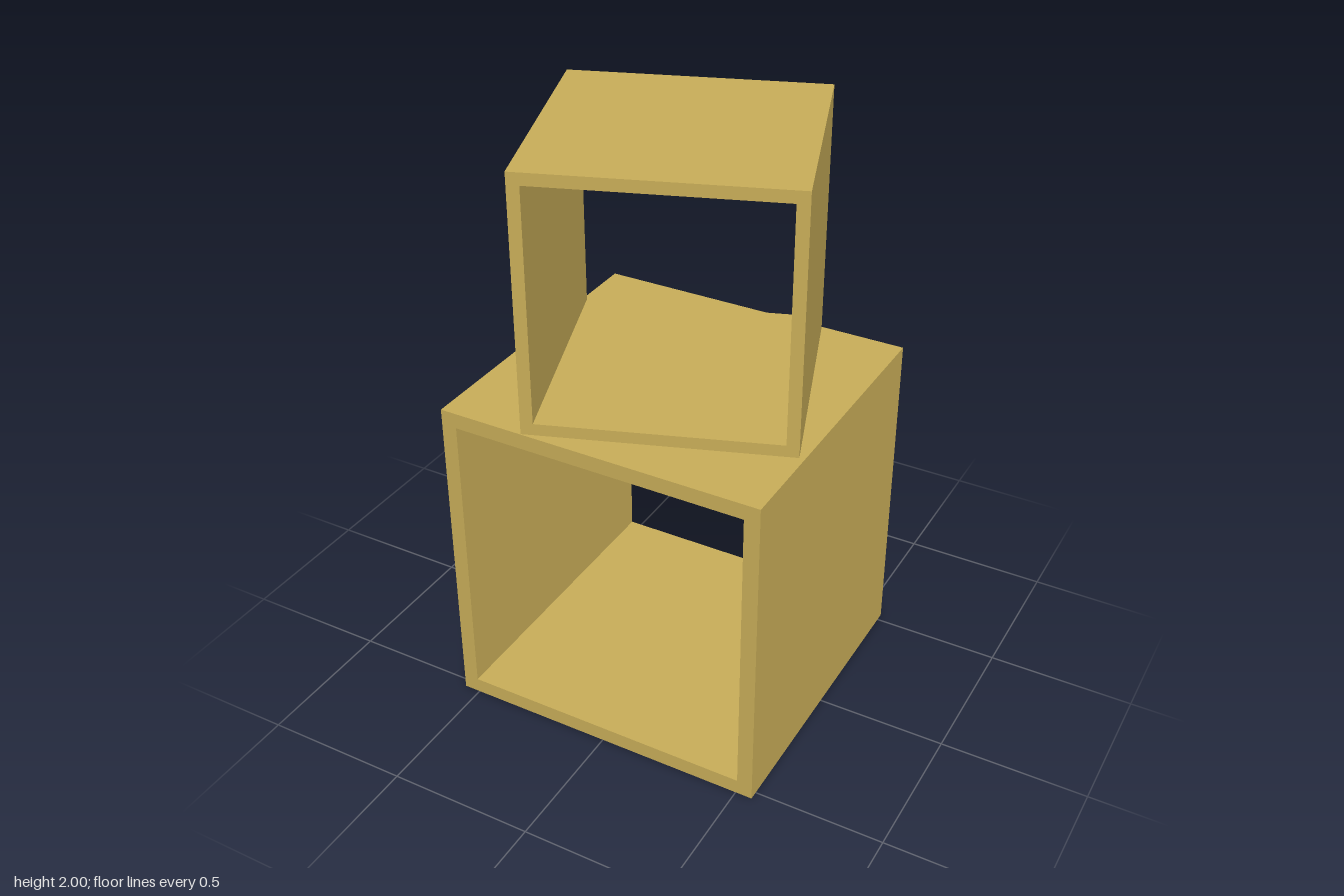
import * as THREE from 'three';

// Square tube, open at front and back, standing on y = 0
function openBox(name, width, height, depth, wall, material) {
  const w = width / 2;
  const shape = new THREE.Shape([
    new THREE.Vector2(-w, 0), new THREE.Vector2(w, 0),
    new THREE.Vector2(w, height), new THREE.Vector2(-w, height),
  ]);
  const i = w - wall;
  shape.holes.push(new THREE.Path([
    new THREE.Vector2(-i, wall), new THREE.Vector2(-i, height - wall),
    new THREE.Vector2(i, height - wall), new THREE.Vector2(i, wall),
  ]));
  const geometry = new THREE.ExtrudeGeometry(shape, { depth, bevelEnabled: false });
  geometry.translate(0, 0, -depth / 2);
  const mesh = new THREE.Mesh(geometry, material);
  mesh.name = name;
  return mesh;
}

export function createModel() {
  const group = new THREE.Group();
  group.name = 'stackedOpenBoxes';
  const wood = new THREE.MeshStandardMaterial({ color: 0xc8ad58 });
  wood.name = 'wood';

  // Large box at the bottom
  const lowerBox = openBox('lowerBox', 1.115, 1.136, 1.06, 0.053, wood);

  // Smaller box on top, turned about the vertical axis
  const upperBox = openBox('upperBox', 0.852, 0.864, 0.813, 0.04, wood);
  upperBox.position.y = 1.136;
  upperBox.rotation.y = THREE.MathUtils.degToRad(20);

  group.add(lowerBox, upperBox);
  return group;
}
